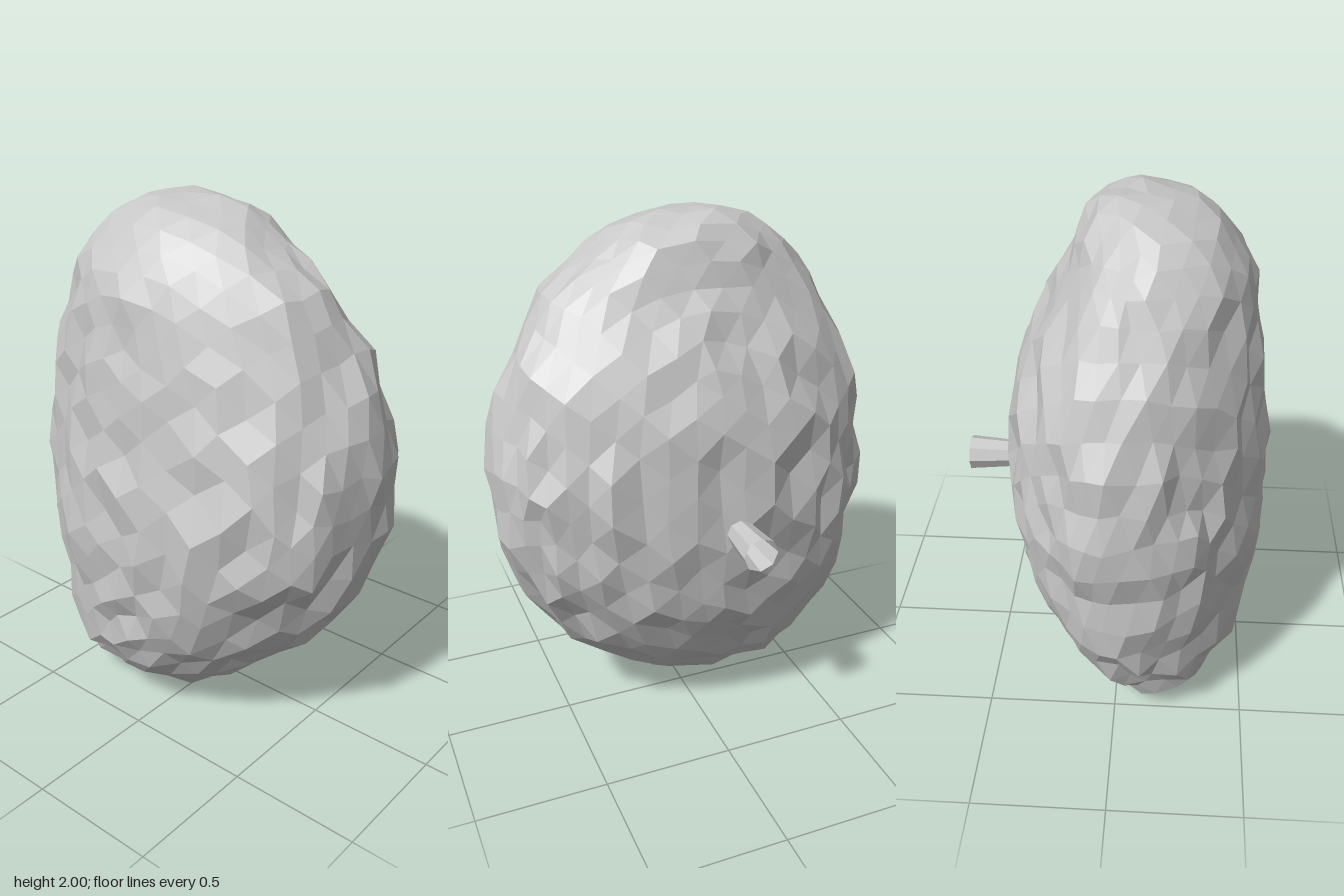
import * as THREE from 'three';
import { mergeVertices } from 'three/addons/utils/BufferGeometryUtils.js';

const stone = new THREE.MeshStandardMaterial({ color: 0xc8c8c8, flatShading: true, side: THREE.DoubleSide });
stone.name = 'stone grey';

// Outline at each height: y, min x, max x, back z, front z
const OUTLINE = [
  [0.00, -0.18, -0.18, 0.12, 0.12],
  [0.03, -0.36, 0.04, 0.02, 0.24],
  [0.12, -0.54, 0.17, -0.11, 0.38],
  [0.22, -0.59, 0.30, -0.18, 0.46],
  [0.40, -0.67, 0.52, -0.30, 0.52],
  [0.60, -0.71, 0.64, -0.37, 0.55],
  [0.80, -0.73, 0.71, -0.41, 0.57],
  [1.05, -0.745, 0.755, -0.42, 0.55],
  [1.35, -0.71, 0.70, -0.37, 0.52],
  [1.50, -0.64, 0.63, -0.32, 0.50],
  [1.72, -0.54, 0.49, -0.20, 0.46],
  [1.88, -0.41, 0.30, -0.14, 0.37],
  [1.97, -0.25, 0.14, -0.07, 0.25],
  [2.00, -0.08, -0.08, 0.09, 0.09],
];
const angleOf = (y) => Math.acos(THREE.MathUtils.clamp(1 - y, -1, 1));

function outlineAt(y) {
  const a = angleOf(y);
  let i = 0;
  while (i < OUTLINE.length - 2 && OUTLINE[i + 1][0] < y) i++;
  const p = OUTLINE[i], q = OUTLINE[i + 1];
  const t = (a - angleOf(p[0])) / (angleOf(q[0]) - angleOf(p[0]));
  return p.map((v, k) => THREE.MathUtils.lerp(v, q[k], t));
}

function seeded(seed) {
  let s = seed;
  return () => (s = (s * 16807) % 2147483647) / 2147483647;
}

// Lumpy boulder: a faceted ball fitted to the outline, then roughened in and out
function boulderGeometry() {
  const ball = new THREE.IcosahedronGeometry(1, 7);
  ball.deleteAttribute('normal');
  ball.deleteAttribute('uv');
  const geometry = mergeVertices(ball, 1e-3);
  const pos = geometry.attributes.position;
  const random = seeded(90217);
  const v = new THREE.Vector3();
  const out = new THREE.Vector3();
  for (let i = 0; i < pos.count; i++) {
    v.fromBufferAttribute(pos, i).normalize();
    const [, left, right, back, front] = outlineAt(1 + v.y);
    const cx = (left + right) / 2;
    const cz = back + (front - back) * 0.41;
    const ring = Math.hypot(v.x, v.z) || 1;
    const dx = v.x / ring, dz = v.z / ring;
    // swelling on the front left shoulder
    const corner = Math.max(0, dx) * Math.max(0, dz) * 2;
    const swell = 0.05 * corner * Math.exp(-(((v.y + 0.12) / 0.32) ** 2));
    // the narrow depth makes the surface face mostly along z; smoother at the top
    out.set(v.x / 0.75, v.y, v.z / 0.49).normalize();
    const rough = 0.044 - 0.02 * THREE.MathUtils.smoothstep(v.y, 0.2, 0.9);
    const bump = (random() - 0.5) * rough;
    const slide = () => (random() - 0.5) * 0.03;
    pos.setXYZ(i,
      cx + dx * (right - left) / 2 + swell * 0.7 + out.x * bump + slide() * (1 - Math.abs(out.x)),
      THREE.MathUtils.clamp(1 + v.y + out.y * bump + slide() * (1 - Math.abs(out.y)), 0, 2),
      cz + dz * (dz > 0 ? front - cz : cz - back) + swell * 0.7 + out.z * bump + slide() * (1 - Math.abs(out.z)));
  }
  const flat = geometry.toNonIndexed();
  flat.computeVertexNormals();
  return flat;
}

export function createModel() {
  const group = new THREE.Group();
  group.name = 'boulder with peg';

  const boulder = new THREE.Mesh(boulderGeometry(), stone);
  boulder.name = 'boulder';
  group.add(boulder);

  // Flared hollow peg sticking out of the back
  const pegGeometry = new THREE.CylinderGeometry(0.043, 0.066, 0.27, 8, 1, true);
  pegGeometry.rotateX(Math.PI / 2);
  const peg = new THREE.Mesh(pegGeometry, stone);
  peg.name = 'backPeg';
  peg.position.set(-0.067, 0.915, -0.45);
  group.add(peg);

  return group;
}
